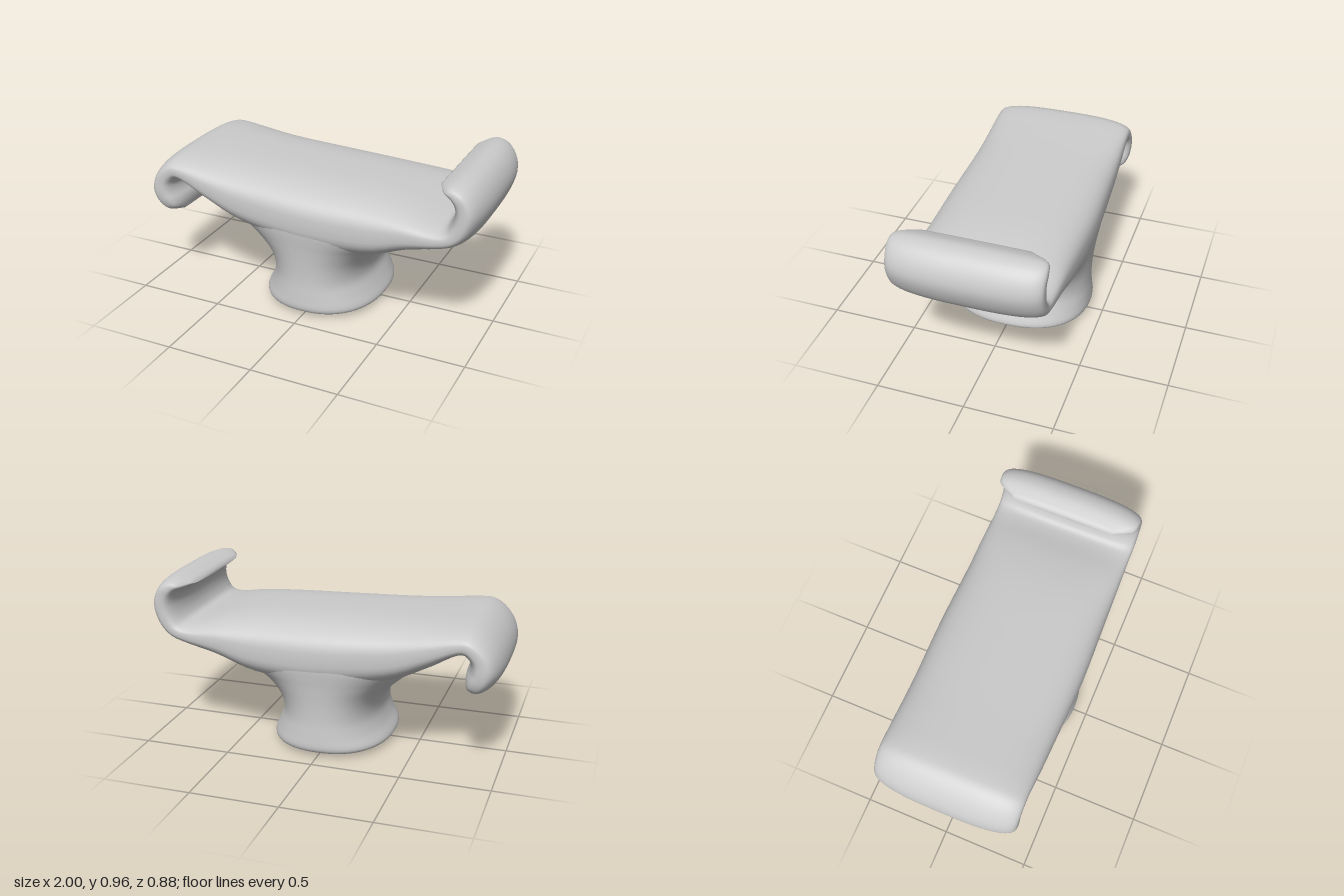
import * as THREE from 'three';

const RING = 64;

// Catmull-Rom blend of four neighbouring values
function blend(a, b, c, d, t) {
  const linear = (c - a) * t;
  const square = (2 * a - 5 * b + 4 * c - d) * t * t;
  const cube = (3 * b - a - 3 * c + d) * t * t * t;
  return 0.5 * (2 * b + linear + square + cube);
}

// Smooth refinement of a list of station rows
function refine(rows, steps) {
  const out = [];
  for (let i = 0; i < rows.length - 1; i++) {
    const a = rows[Math.max(i - 1, 0)];
    const b = rows[i];
    const c = rows[i + 1];
    const d = rows[Math.min(i + 2, rows.length - 1)];
    for (let s = 0; s < steps; s++) {
      out.push(b.map((v, k) => blend(a[k], v, c[k], d[k], s / steps)));
    }
  }
  out.push(rows[rows.length - 1]);
  return out;
}

// Skin a closed surface over the rings; point(row, c, s) places one ring vertex
function loft(name, rows, exponent, point) {
  const pos = [];
  const index = [];
  const soft = (v, n) => Math.sign(v) * Math.pow(Math.abs(v), 2 / n);
  for (const row of rows) {
    const n = exponent(row);
    for (let j = 0; j < RING; j++) {
      const a = (j / RING) * Math.PI * 2;
      pos.push(...point(row, soft(Math.cos(a), n), soft(Math.sin(a), n)));
    }
  }
  const last = (rows.length - 1) * RING;
  const start = rows.length * RING;
  const end = start + 1;
  for (const first of [0, last]) {
    const mid = [0, 0, 0];
    for (let j = 0; j < RING * 3; j++) mid[j % 3] += pos[first * 3 + j] / RING;
    pos.push(...mid);
  }
  for (let j = 0; j < RING; j++) {
    const k = (j + 1) % RING;
    for (let r = 0; r < last; r += RING) {
      index.push(r + j, r + RING + j, r + k, r + k, r + RING + j, r + RING + k);
    }
    index.push(start, j, k, end, last + k, last + j);
  }
  const geometry = new THREE.BufferGeometry();
  geometry.setAttribute('position', new THREE.Float32BufferAttribute(pos, 3));
  geometry.setIndex(index);
  geometry.computeVertexNormals();
  const mesh = new THREE.Mesh(geometry, new THREE.MeshStandardMaterial({ color: 0xcccccc }));
  mesh.name = name;
  return mesh;
}

export function createModel() {
  const group = new THREE.Group();
  group.name = 'scrollBench';

  // Seat with a scroll curling down on one end and up on the other
  // station: upper x, upper y, lower x, lower y, half depth
  const seat = [
    [-0.83, 0.46, -0.80, 0.48, 0.30],
    [-0.90, 0.465, -0.79, 0.52, 0.38],
    [-0.96, 0.505, -0.79, 0.56, 0.41],
    [-1.0, 0.585, -0.805, 0.60, 0.42],
    [-0.985, 0.675, -0.81, 0.635, 0.42],
    [-0.93, 0.755, -0.80, 0.655, 0.42],
    [-0.85, 0.81, -0.78, 0.665, 0.42],
    [-0.76, 0.82, -0.73, 0.64, 0.42],
    [-0.60, 0.812, -0.60, 0.555, 0.425],
    [-0.38, 0.80, -0.38, 0.45, 0.43],
    [0, 0.785, 0, 0.39, 0.44],
    [0.35, 0.77, 0.37, 0.41, 0.43],
    [0.57, 0.745, 0.60, 0.50, 0.425],
    [0.72, 0.712, 0.79, 0.56, 0.42],
    [0.79, 0.71, 0.89, 0.605, 0.42],
    [0.82, 0.75, 0.96, 0.675, 0.42],
    [0.83, 0.80, 1.0, 0.78, 0.42],
    [0.825, 0.84, 0.985, 0.87, 0.42],
    [0.805, 0.872, 0.93, 0.94, 0.42],
    [0.775, 0.895, 0.85, 0.963, 0.40],
    [0.745, 0.912, 0.765, 0.937, 0.30],
  ];
  const seatPoint = ([ux, uy, lx, ly, z], c, s) => [
    (ux + lx) / 2 + (s * (ux - lx)) / 2,
    (uy + ly) / 2 + (s * (uy - ly)) / 2,
    z * c,
  ];
  group.add(loft('scrollSeat', refine(seat, 4), () => 2.9, seatPoint));

  // Waisted pedestal flaring into the underside of the seat
  // station: height, reach to -x, reach to +x, half depth, squareness
  const pedestal = [
    [0, 0.10, 0.10, 0.12, 2.3],
    [0.012, 0.27, 0.27, 0.33, 2.3],
    [0.022, 0.325, 0.325, 0.39, 2.3],
    [0.05, 0.347, 0.347, 0.42, 2.3],
    [0.12, 0.31, 0.318, 0.418, 2.3],
    [0.20, 0.287, 0.29, 0.412, 2.3],
    [0.28, 0.30, 0.303, 0.412, 2.3],
    [0.35, 0.345, 0.35, 0.416, 2.3],
    [0.42, 0.42, 0.43, 0.422, 2.4],
    [0.47, 0.485, 0.535, 0.428, 2.5],
    [0.52, 0.55, 0.66, 0.433, 2.6],
    [0.57, 0.57, 0.67, 0.432, 2.7],
    [0.62, 0.50, 0.56, 0.40, 2.7],
  ];
  const pedestalPoint = ([y, left, right, z], c, s) => [-s * (s > 0 ? left : right), y, z * c];
  group.add(loft('pedestal', refine(pedestal, 4), (row) => row[4], pedestalPoint));

  return group;
}
